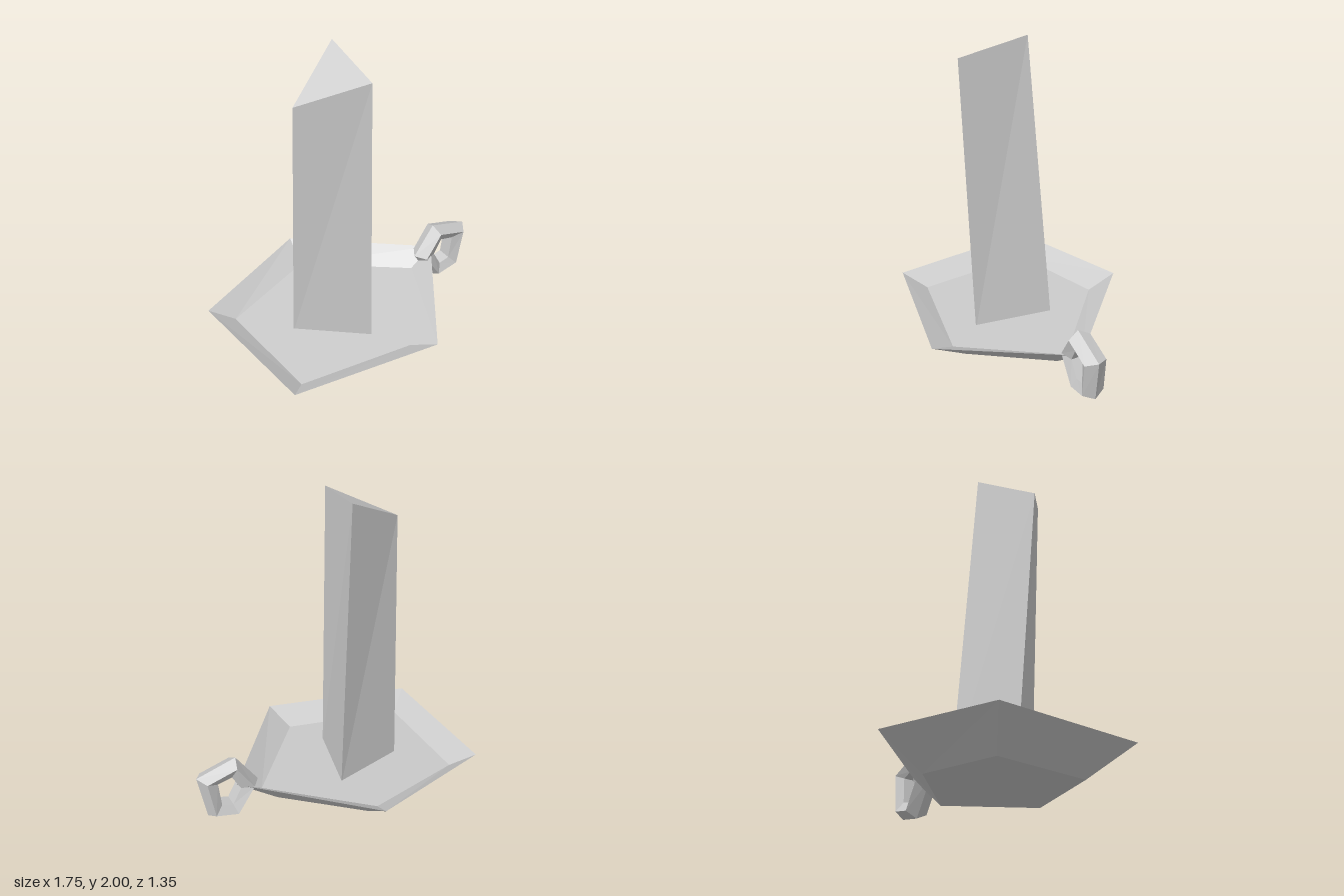
import * as THREE from 'three';

// Skin a run of equal-length point rings, each wound counter-clockwise seen against the direction of travel.
function loft(rings, closed = false) {
  const n = rings[0].length;
  const pos = [];
  const tri = (a, b, c) => pos.push(...a, ...b, ...c);
  const spans = closed ? rings.length : rings.length - 1;
  for (let k = 0; k < spans; k++) {
    const a = rings[k], b = rings[(k + 1) % rings.length];
    for (let i = 0; i < n; i++) {
      const j = (i + 1) % n;
      tri(a[i], a[j], b[j]);
      tri(a[i], b[j], b[i]);
    }
  }
  if (!closed) {
    const first = rings[0], last = rings[rings.length - 1];
    for (let i = 1; i < n - 1; i++) {
      tri(first[0], first[i + 1], first[i]);
      tri(last[0], last[i], last[i + 1]);
    }
  }
  const g = new THREE.BufferGeometry();
  g.setAttribute('position', new THREE.Float32BufferAttribute(pos, 3));
  g.computeVertexNormals();
  return g;
}

// Place [x, z] corners on a slightly tilted horizontal plane.
const onPlane = (height, corners) =>
  corners.map(([x, z]) => [x, height + 0.047 * x - 0.048 * z, z]);

export function createModel() {
  const grey = new THREE.MeshStandardMaterial({ color: 0xcccccc });
  grey.name = 'grey';
  grey.flatShading = true;

  const model = new THREE.Group();
  model.name = 'candleHolder';
  const add = (name, geometry) => {
    const mesh = new THREE.Mesh(geometry, grey);
    mesh.name = name;
    model.add(mesh);
  };

  // Five-sided dish: underside, sharp rim, shallow inner floor
  add('dish', loft([
    onPlane(0.041, [[-0.64, 0.22], [-0.06, 0.4], [0.36, 0], [-0.04, -0.42], [-0.58, -0.34]]),
    onPlane(0.241, [[-0.875, 0.39], [0.01, 0.674], [0.633, 0.02], [0.02, -0.678], [-0.8, -0.503]]),
    onPlane(0.152, [[-0.735, 0.285], [-0.04, 0.5], [0.465, 0.01], [-0.03, -0.52], [-0.665, -0.41]]),
  ]));

  // Leaning three-sided candle with a slanted top, sunk into the floor
  add('candle', loft([
    onPlane(0.124, [[-0.46, -0.1], [-0.148, 0.268], [0.01, -0.19]]),
    [[-0.508, 1.77, 0.02], [-0.2, 1.92, 0.315], [-0.112, 2, -0.095]],
  ]));

  // Ring handle: each corner holds outer x, y and hole x, y
  const corners = [
    [0.872, 0.38, 0.755, 0.33],
    [0.62, 0.457, 0.665, 0.352],
    [0.488, 0.26, 0.613, 0.255],
    [0.635, 0.05, 0.67, 0.152],
    [0.82, 0.09, 0.74, 0.17],
  ];
  // Tube section: [share of the way from hole to outer edge, depth]
  const section = [[1, 0], [0.62, -0.07], [0, -0.043], [0, 0.043], [0.62, 0.07]];
  add('handle', loft(corners.map(([ox, oy, hx, hy]) => section.map(([t, d]) => {
    const x = hx + (ox - hx) * t, y = hy + (oy - hy) * t;
    const z = 0.043 + 0.145 * (x - 0.687) + 0.05 * (y - 0.247);
    return [x - 0.14 * d, y - 0.05 * d, z + d];
  })), true));

  return model;
}
